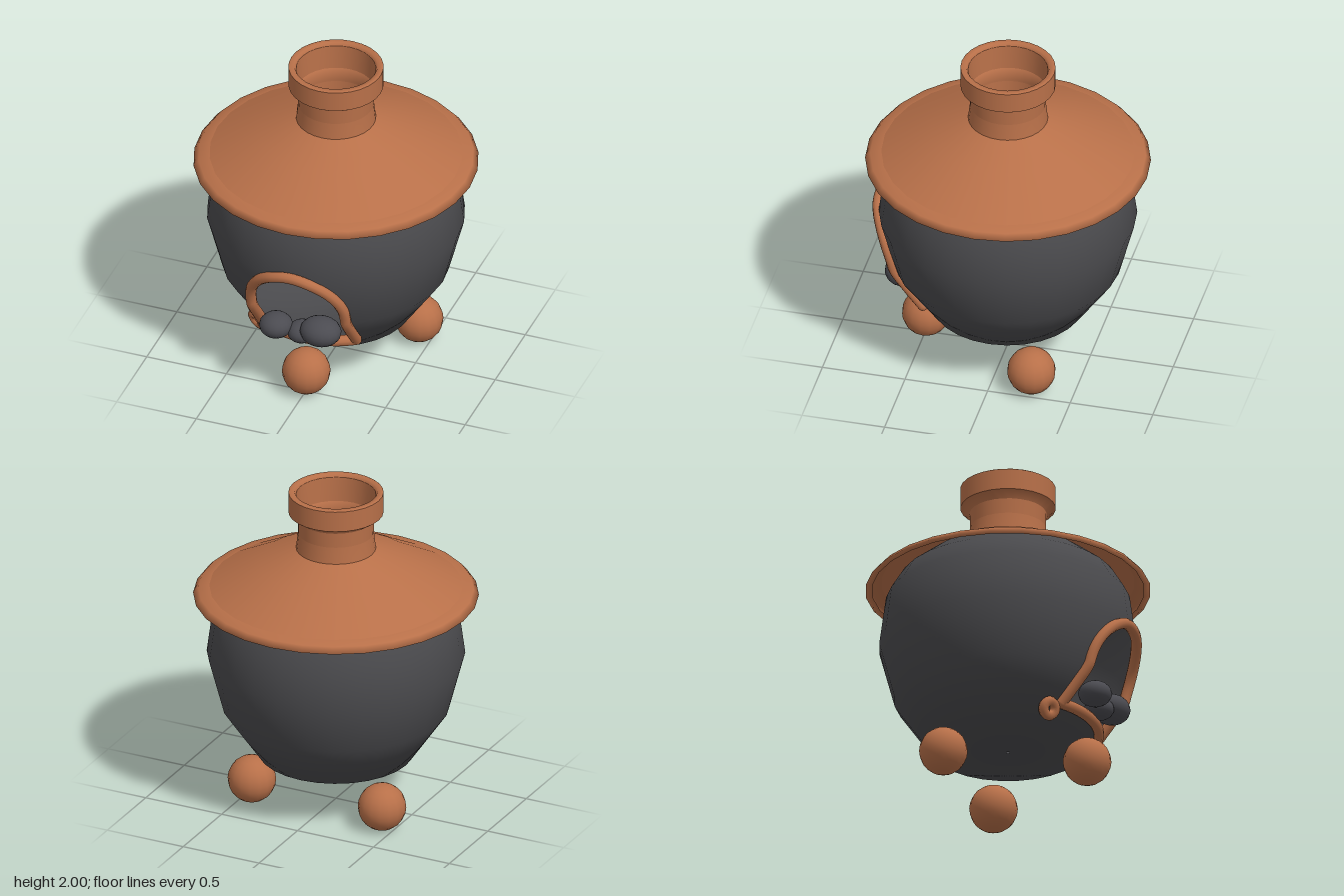
import * as THREE from 'three';

const SIDES = 28;
const both = THREE.DoubleSide;
const clay = new THREE.MeshStandardMaterial({ color: 0xb87049, side: both });
clay.name = 'terracotta';
const iron = new THREE.MeshStandardMaterial({ color: 0x4a4a4d, side: both });
iron.name = 'charcoal grey';
const coal = new THREE.MeshStandardMaterial({ color: 0x4b4b51 });
coal.name = 'coal grey';

// Pot outline from the bottom to the edge hidden under the lid
const POT = [[0.01, 0.285], [0.46, 0.315], [0.67, 0.62], [0.76, 0.96], [0.72, 1.26], [0.64, 1.39], [0.5, 1.5]]
  .map(([r, y]) => new THREE.Vector2(r, y));

// Arched door
const DOOR = { half: 0.295, bottom: 0.405, spring: 0.68 };

function add(parent, name, geometry, material, x = 0, y = 0, z = 0) {
  const mesh = new THREE.Mesh(geometry, material);
  mesh.name = name;
  mesh.position.set(x, y, z);
  parent.add(mesh);
  return mesh;
}

function lathe(points) {
  return new THREE.LatheGeometry(points.map(([r, y]) => new THREE.Vector2(r, y)), SIDES);
}

function potRadius(y) {
  for (let i = 1; i < POT.length; i++) {
    if (y <= POT[i].y) {
      const t = (y - POT[i - 1].y) / (POT[i].y - POT[i - 1].y);
      return THREE.MathUtils.lerp(POT[i - 1].x, POT[i].x, t);
    }
  }
  return POT[POT.length - 1].x;
}

// Point on the front of the pot at a given x and y
function onPot(x, y, lift = 0) {
  const r = potRadius(y) + lift;
  return new THREE.Vector3(x, y, Math.sqrt(Math.max(0, r * r - x * x)));
}

function inDoor(x, y, z) {
  if (z < 0 || y < DOOR.bottom || Math.abs(x) > DOOR.half) return false;
  return y < DOOR.spring || Math.hypot(x, y - DOOR.spring) < DOOR.half;
}

// Faceted pot wall with smooth normals and the door left open
function potGeometry() {
  const fine = 6, cols = SIDES * fine, steps = 12;
  const edgeNormal = (i) => {
    const d = POT[i + 1].clone().sub(POT[i]).normalize();
    return new THREE.Vector2(d.y, -d.x);
  };
  const last = POT.length - 1;
  const normals = POT.map((p, i) =>
    edgeNormal(Math.max(0, i - 1)).add(edgeNormal(Math.min(last - 1, i))).normalize());
  const pos = [], nor = [], index = [];
  const rows = last * steps;
  for (let j = 0; j <= rows; j++) {
    const i = Math.min(last - 1, Math.floor(j / steps)), t = j / steps - i;
    const p = POT[i].clone().lerp(POT[i + 1], t);
    const n = normals[i].clone().lerp(normals[i + 1], t).normalize();
    for (let k = 0; k <= cols; k++) {
      const a = (k / cols) * Math.PI * 2;
      const half = Math.PI / SIDES;
      const r = p.x * Math.cos(half) / Math.cos((k % fine) / fine * 2 * half - half);
      pos.push(r * Math.sin(a), p.y, r * Math.cos(a));
      nor.push(n.x * Math.sin(a), n.y, n.x * Math.cos(a));
    }
  }
  for (let j = 0; j < rows; j++) {
    for (let k = 0; k < cols; k++) {
      const a = j * (cols + 1) + k, b = a + 1, c = a + cols + 1, d = c + 1;
      const mid = [0, 1, 2].map((m) => (pos[a * 3 + m] + pos[d * 3 + m]) / 2);
      if (!inDoor(...mid)) index.push(a, b, d, a, d, c);
    }
  }
  const g = new THREE.BufferGeometry();
  g.setAttribute('position', new THREE.Float32BufferAttribute(pos, 3));
  g.setAttribute('normal', new THREE.Float32BufferAttribute(nor, 3));
  g.setIndex(index);
  return g;
}

export function createModel() {
  const model = new THREE.Group();
  model.name = 'potStove';

  add(model, 'pot', potGeometry(), iron);

  // Lid and chimney, split where the edges are sharp
  const lid = new THREE.Group();
  lid.name = 'lid';
  model.add(lid);
  add(lid, 'lidRim', lathe([[0.8, 1.335], [0.84, 1.335], [0.81, 1.37], [0.745, 1.385]]), clay);
  add(lid, 'lidCone', lathe([[0.745, 1.385], [0.46, 1.54], [0.235, 1.635]]), clay);
  add(lid, 'chimneyNeck', lathe([[0.235, 1.635], [0.222, 1.75], [0.22, 1.825], [0.28, 1.868]]), clay);
  add(lid, 'chimneyCollar', lathe([[0.28, 1.868], [0.28, 1.995]]), clay);
  add(lid, 'chimneyLip', lathe([[0.28, 1.995], [0.272, 2], [0.245, 2], [0.235, 1.98]]), clay);
  add(lid, 'chimneyLining', lathe([[0.235, 1.98], [0.225, 1.8], [0.22, 1.6]]), clay);
  add(lid, 'chimneyBowl', lathe([[0.22, 1.6], [0.18, 1.5], [0.1, 1.43], [0.01, 1.4]]), clay);

  // Door frame bent over the pot wall
  const path = [];
  for (let i = 0; i <= 6; i++) {
    path.push(onPot(-DOOR.half, THREE.MathUtils.lerp(DOOR.bottom, DOOR.spring, i / 6), 0.01));
  }
  for (let i = 1; i <= 16; i++) {
    const a = Math.PI * (1 - i / 16);
    path.push(onPot(DOOR.half * Math.cos(a), DOOR.spring + DOOR.half * Math.sin(a), 0.01));
  }
  for (let i = 1; i <= 6; i++) {
    path.push(onPot(DOOR.half, THREE.MathUtils.lerp(DOOR.spring, DOOR.bottom, i / 6), 0.01));
  }
  add(model, 'doorArch', new THREE.TubeGeometry(new THREE.CatmullRomCurve3(path), 80, 0.033, 10), clay);
  const sill = [];
  for (let i = 0; i <= 8; i++) sill.push(onPot(DOOR.half * (1 - i / 4), DOOR.bottom, 0.01));
  add(model, 'doorSill', new THREE.TubeGeometry(new THREE.CatmullRomCurve3(sill), 24, 0.033, 10), clay);
  for (const end of [path[0], path[path.length - 1]]) {
    add(model, 'doorCorner', new THREE.SphereGeometry(0.033, 10, 8), clay, end.x, end.y, end.z);
  }

  // Curled end of the frame at the lower right corner
  const curl = add(model, 'frameCurl', new THREE.TorusGeometry(0.042, 0.031, 8, 16), clay, -0.345, 0.36, 0.385);
  curl.rotation.set(0.4, -0.5, 0);

  // Coals in the doorway
  [[-0.15, 0.505, 0.6, 0.1, 0.075, 0.1], [0.13, 0.525, 0.6, 0.125, 0.087, 0.11], [0, 0.475, 0.57, 0.085, 0.065, 0.09]]
    .forEach(([x, y, z, rx, ry, rz]) => {
      add(model, 'coal', new THREE.SphereGeometry(1, 16, 12), coal, x, y, z).scale.set(rx, ry, rz);
    });

  // Three ball feet
  for (let i = 0; i < 3; i++) {
    const a = (i / 3) * Math.PI * 2;
    add(model, 'foot', new THREE.SphereGeometry(0.143, 16, 12), clay, 0.495 * Math.sin(a), 0.147, 0.495 * Math.cos(a));
  }
  return model;
}
